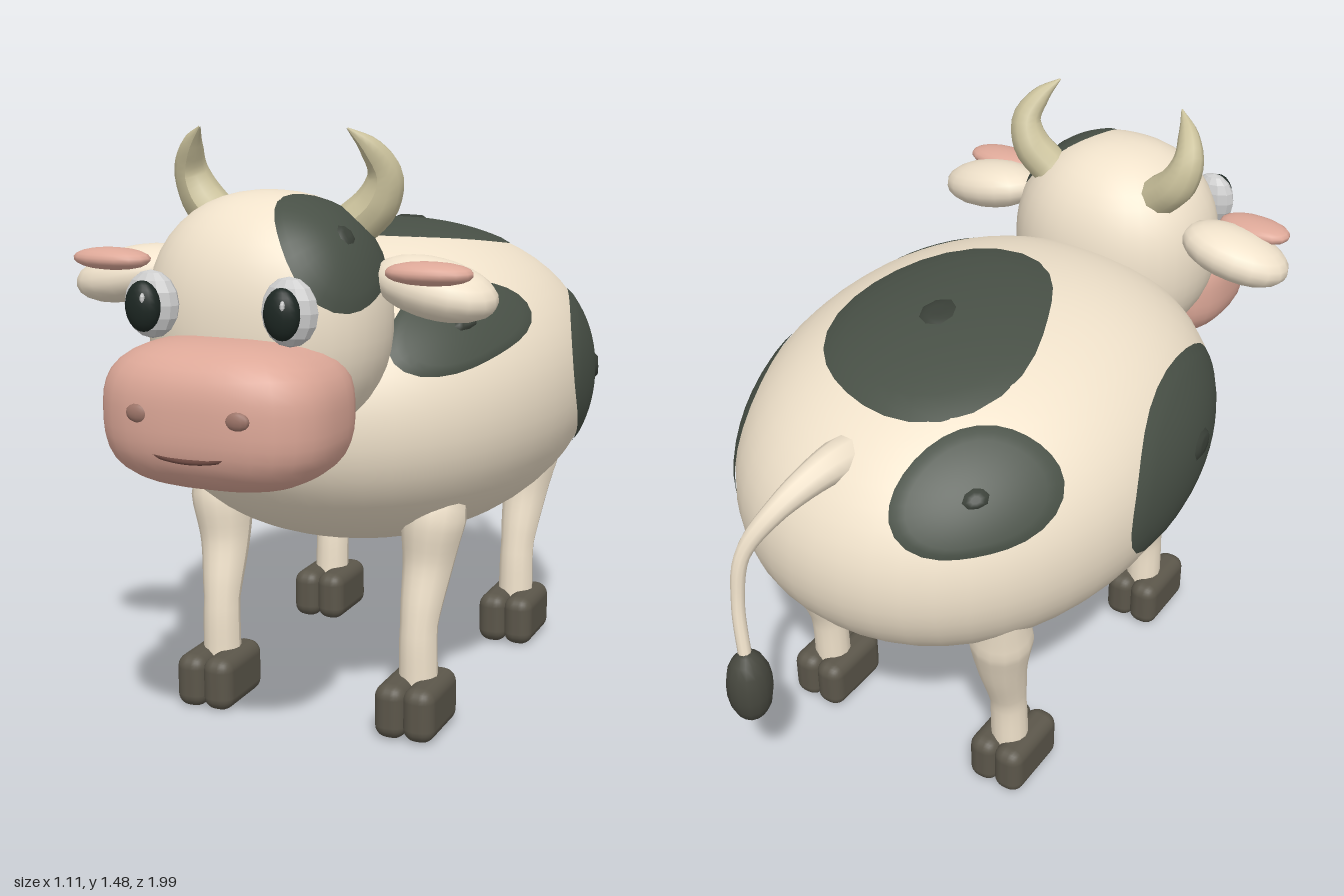
import * as THREE from 'three';
import { mergeVertices } from 'three/addons/utils/BufferGeometryUtils.js';
import { RoundedBoxGeometry } from 'three/addons/geometries/RoundedBoxGeometry.js';

const V = (x, y, z) => new THREE.Vector3(x, y, z);
const mat = (color, flatShading = false) => new THREE.MeshStandardMaterial({ color, flatShading, roughness: 0.9 });
const cream = mat(0xf0e2cb), dark = mat(0x485046), pink = mat(0xdda898), hoofMat = mat(0x5b564a),
  horn = mat(0xcbc29c), white = mat(0xf4f4f2, true), black = mat(0x1d2723), tuftMat = mat(0x47483f),
  nostrilMat = mat(0x9c7468), lip = mat(0x6e4a42), spotMat = mat(0x3a4038);

function add(parent, name, geo, material) {
  const m = new THREE.Mesh(geo, material);
  m.name = name;
  parent.add(m);
  return m;
}

// Rounded solid: maps a unit direction to a (slightly boxy) ellipsoid; sag lowers both ends in z
const surface = (c, r, p = 2, sag = 0) => (d, k = 1) => {
  const s = k / Math.pow(Math.abs(d.x) ** p + Math.abs(d.y) ** p + Math.abs(d.z) ** p, 1 / p);
  return V(c[0] + d.x * s * r[0], c[1] + d.y * s * r[1] - sag * d.z * d.z, c[2] + d.z * s * r[2]);
};

function blob(parent, name, surf, material, seg = 32) {
  let g = new THREE.SphereGeometry(1, seg, Math.round(seg * 0.66));
  const pos = g.attributes.position, d = V(0, 0, 0);
  for (let i = 0; i < pos.count; i++) {
    const q = surf(d.fromBufferAttribute(pos, i).normalize());
    pos.setXYZ(i, q.x, q.y, q.z);
  }
  g.deleteAttribute('uv');
  g.deleteAttribute('normal');
  g = mergeVertices(g, 1e-5);
  g.computeVertexNormals();
  return add(parent, name, g, material);
}

// Coat patch: rings of points laid just above a surface, plus a small nub in the middle
function patch(parent, name, surf, dir, ref, a, b, tilt, phase) {
  const n = dir.clone().normalize(), u = ref.clone().cross(n).normalize(), v = n.clone().cross(u);
  const lay = (scale, lift, rings, sides, wobble) => {
    const pts = [], idx = [];
    for (let i = 0; i <= rings; i++) for (let j = 0; j < sides; j++) {
      const t = j / sides * Math.PI * 2;
      const w = scale * i / rings * (1 + wobble * Math.sin(2 * t + phase) + wobble * 0.8 * Math.cos(3 * t + phase));
      const x = w * a * Math.cos(t), y = w * b * Math.sin(t);
      const px = x * Math.cos(tilt) - y * Math.sin(tilt), py = x * Math.sin(tilt) + y * Math.cos(tilt);
      const d = n.clone().multiplyScalar(Math.sqrt(Math.max(0, 1 - px * px - py * py)))
        .addScaledVector(u, px).addScaledVector(v, py);
      pts.push(...surf(d, lift(i / rings)).toArray());
      if (i < rings) {
        const k = i * sides + j, l = i * sides + (j + 1) % sides;
        idx.push(k, k + sides, l + sides, k, l + sides, l);
      }
    }
    const g = new THREE.BufferGeometry();
    g.setAttribute('position', new THREE.Float32BufferAttribute(pts, 3));
    g.setIndex(idx);
    const merged = mergeVertices(g, 1e-6);
    merged.computeVertexNormals();
    return merged;
  };
  add(parent, name, lay(1, t => (t === 1 ? 1.001 : 1.008), 10, 28, 0.06), dark);
  add(parent, name + 'Nub', lay(0.17, t => (t === 1 ? 1.005 : 1.022), 3, 8, 0.05), spotMat);
}

// Tapered limb: circular sections swept along a smooth path
function taper(parent, name, points, radii, material, sides = 12, steps = 20) {
  const curve = new THREE.CatmullRomCurve3(points.map(p => V(...p)));
  const g = new THREE.TubeGeometry(curve, steps, 1, sides, false);
  const pos = g.attributes.position, p = V(0, 0, 0);
  for (let i = 0; i <= steps; i++) {
    const c = curve.getPointAt(i / steps);
    const f = curve.getUtoTmapping(i / steps) * (radii.length - 1);
    const k = Math.min(Math.floor(f), radii.length - 2);
    const r = THREE.MathUtils.lerp(radii[k], radii[k + 1], f - k);
    for (let j = 0; j <= sides; j++) {
      const q = i * (sides + 1) + j;
      p.fromBufferAttribute(pos, q).sub(c).multiplyScalar(r).add(c);
      pos.setXYZ(q, p.x, p.y, p.z);
    }
  }
  g.computeVertexNormals();
  return add(parent, name, g, material);
}

export function createModel() {
  const cow = new THREE.Group();
  cow.name = 'cow';

  // Body and its coat patches
  const body = surface([0, 0.81, -0.105], [0.55, 0.41, 0.705], 2.12, 0.025);
  blob(cow, 'body', body, cream, 48);
  const Y = V(0, 1, 0), X = V(1, 0, 0);
  patch(cow, 'backPatch', body, V(0.05, 1, -0.21), X, 0.47, 0.49, 0, 0.4);
  patch(cow, 'leftFlankPatch', body, V(0.92, 0.02, -0.39), Y, 0.45, 0.5, 0, 3.6);
  patch(cow, 'leftShoulderPatch', body, V(0.64, 0.5, 0.54), Y, 0.33, 0.25, 0.25, 1);
  patch(cow, 'rightRumpPatch', body, V(-0.53, 0.5, -0.66), Y, 0.3, 0.31, 0.2, 2);
  patch(cow, 'rightShoulderPatch', body, V(-0.93, 0.1, 0.24), Y, 0.48, 0.5, 0, 0.5);

  // Head and muzzle
  const head = new THREE.Group();
  head.name = 'head';
  cow.add(head);
  const skull = surface([0, 1.055, 0.575], [0.28, 0.285, 0.245], 2.25);
  blob(head, 'skull', skull, cream, 36);
  patch(head, 'headPatch', skull, V(0.68, 0.62, 0.22), Y, 0.58, 0.56, 0.3, 1.2);
  const muzzle = surface([0, 0.875, 0.79], [0.268, 0.165, 0.205], 2.9, -0.01);
  blob(head, 'muzzle', muzzle, pink, 36);

  // Mouth follows the muzzle front
  const smile = [-0.1, -0.05, 0, 0.05, 0.1].map(x => V(x, 0.802 + 1.4 * x * x, 0.983 - 0.6 * x * x));
  add(head, 'mouth', new THREE.TubeGeometry(new THREE.CatmullRomCurve3(smile), 16, 0.007, 6), lip);

  for (const s of [1, -1]) {
    const side = s > 0 ? 'left' : 'right';

    blob(head, side + 'Nostril', surface([s * 0.115, 0.897, 0.983], [0.03, 0.021, 0.013]), nostrilMat, 12);

    // Eyes
    blob(head, side + 'Eye', surface([s * 0.165, 1.105, 0.828], [0.066, 0.075, 0.038]), white, 12);
    blob(head, side + 'Pupil', surface([s * 0.165, 1.105, 0.867], [0.041, 0.056, 0.028]), black, 16);
    blob(head, side + 'EyeGlint', surface([s * 0.165 + 0.012, 1.125, 0.889], [0.006, 0.012, 0.006]), white, 8);

    // Ears with pink inner
    const ear = blob(head, side + 'Ear', surface([0, 0, 0], [0.15, 0.064, 0.1], 2.1), cream, 18);
    ear.position.set(s * 0.38, 1.13, 0.53);
    ear.rotation.set(0.1, -s * 0.12, -s * 0.2);
    const inner = blob(head, side + 'InnerEar', surface([0, 0, 0], [0.1, 0.026, 0.054], 2.2), pink, 16);
    inner.position.set(s * 0.395, 1.172, 0.61);
    inner.rotation.y = s * 0.05;

    // Horns
    taper(head, side + 'Horn',
      [[s * 0.16, 1.25, 0.49], [s * 0.222, 1.31, 0.48], [s * 0.245, 1.375, 0.49], [s * 0.222, 1.435, 0.525], [s * 0.183, 1.478, 0.56]],
      [0.055, 0.052, 0.041, 0.026, 0.002], horn, 10, 16);

    // Legs: top, knee and ankle z positions for front and rear, each with a cloven hoof
    for (const [end, x, zs, hz] of [
      ['Front', 0.272, [0.25, 0.275, 0.285, 0.325, 0.328], 0.345],
      ['Rear', 0.29, [-0.52, -0.495, -0.475, -0.435, -0.425], -0.41]]) {
      const ys = [0.64, 0.53, 0.42, 0.27, 0.11], xs = [0.035, 0.018, 0.008, 0, 0];
      taper(cow, side + end + 'Leg', ys.map((y, i) => [s * (x + xs[i]), y, zs[i]]),
        [0.06, 0.082, 0.064, 0.047, 0.049], cream, 14);
      for (const t of [-1, 1]) {
        const toe = add(cow, side + end + 'Hoof', new RoundedBoxGeometry(0.082, 0.138, 0.21, 3, 0.034), hoofMat);
        toe.position.set(s * x + t * 0.037, 0.073, hz);
      }
    }
  }

  // Tail and tuft
  taper(cow, 'tail',
    [[0.015, 1.02, -0.6], [0.025, 1.035, -0.7], [0.07, 0.98, -0.83], [0.12, 0.88, -0.9], [0.13, 0.75, -0.925], [0.108, 0.58, -0.945]],
    [0.06, 0.045, 0.028, 0.019, 0.016, 0.016], cream, 10, 28);
  blob(cow, 'tailTuft', surface([0.105, 0.518, -0.945], [0.052, 0.1, 0.055], 2.3), tuftMat, 14);
  return cow;
}
